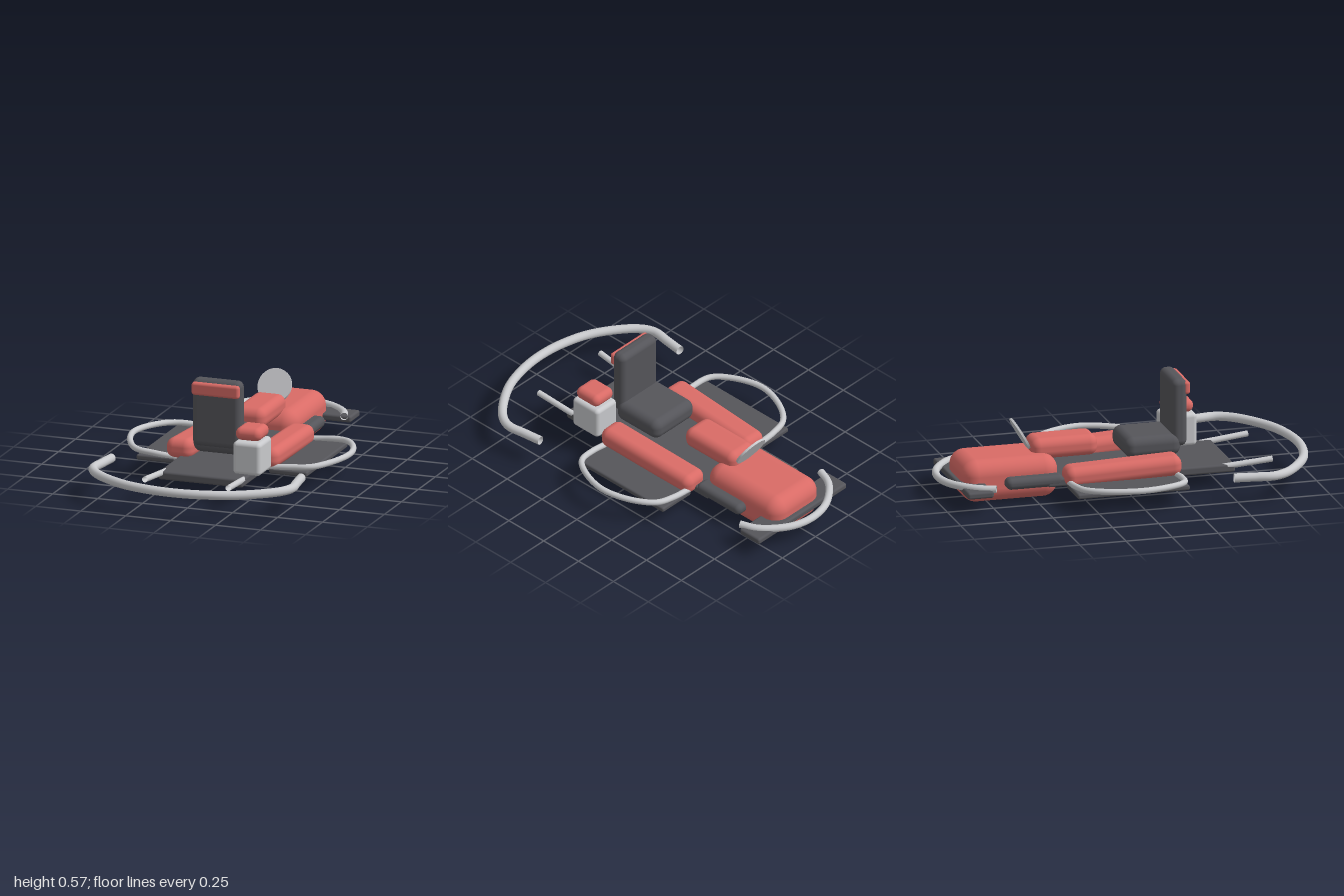
import * as THREE from 'three';
import { RoundedBoxGeometry } from 'three/addons/geometries/RoundedBoxGeometry.js';

const mat = (name, color, side = THREE.FrontSide) =>
  Object.assign(new THREE.MeshStandardMaterial({ color, side }), { name });

export function createModel() {
  const model = new THREE.Group();
  model.name = 'kart';
  const red = mat('red', 0xd96b66);
  const dark = mat('charcoal', 0x55555a);
  const silver = mat('silver', 0xc8c9cc, THREE.DoubleSide);

  const add = (name, geometry, material) => {
    const mesh = new THREE.Mesh(geometry, material);
    mesh.name = name;
    model.add(mesh);
    return mesh;
  };
  // Rounded box given by its extents on each axis
  const box = (name, material, [x0, x1], [y0, y1], [z0, z1], radius) => {
    const geometry = new RoundedBoxGeometry(x1 - x0, y1 - y0, z1 - z0, 5, radius);
    const mesh = add(name, geometry, material);
    mesh.position.set((x0 + x1) / 2, (y0 + y1) / 2, (z0 + z1) / 2);
    return mesh;
  };
  // Open-ended tube through a few points
  const tube = (name, points, radius) => {
    const curve = new THREE.CatmullRomCurve3(points.map(p => new THREE.Vector3(...p)));
    return add(name, new THREE.TubeGeometry(curve, 64, radius, 14), silver);
  };
  // Complete a half path (ending on x = 0) with its mirror image
  const mirrored = half => [...half, ...half.slice(0, -1).reverse().map(([x, y, z]) => [-x, y, z])];

  // Floor and rear plate
  box('floor', dark, [-0.235, 0.235], [0.085, 0.13], [-0.45, 0.565], 0.012);
  box('rearPlate', dark, [-0.333, 0.333], [0.086, 0.122], [-0.91, -0.77], 0.012);

  // Rear body and steering column cover
  box('rearBody', red, [-0.177, 0.177], [0.005, 0.232], [-0.885, -0.365], 0.08);
  box('columnCover', red, [-0.09, 0.09], [0.19, 0.302], [-0.49, -0.132], 0.045);

  // Steering disc
  const disc = add('steeringDisc', new THREE.CylinderGeometry(0.093, 0.093, 0.012, 40), silver);
  disc.position.set(0, 0.32, -0.535);
  disc.rotation.x = 1.06;

  // Seat
  box('seatCushion', dark, [-0.15, 0.15], [0.17, 0.285], [0, 0.3], 0.045);
  box('seatBack', dark, [-0.136, 0.136], [0.215, 0.58], [0.255, 0.336], 0.033);
  box('headrest', red, [-0.132, 0.132], [0.495, 0.565], [0.318, 0.352], 0.015);

  // Engine beside the seat
  box('engine', silver, [0.142, 0.296], [0.125, 0.302], [0.285, 0.468], 0.022);
  box('engineCap', red, [0.147, 0.29], [0.305, 0.374], [0.298, 0.454], 0.033);

  // Paired side parts
  for (const s of [-1, 1]) {
    const span = (a, b) => (s > 0 ? [a, b] : [-b, -a]);
    box('sidePanel', dark, span(0.262, 0.475), [0.083, 0.111], [-0.357, 0.25], 0.01);
    box('rearRail', dark, span(0.15, 0.236), [0.085, 0.146], [-0.67, -0.36], 0.028);

    const pod = box('sidePod', red, span(0.157, 0.305), [0.095, 0.205], [-0.362, 0.262], 0.045);
    pod.rotation.set(-0.045, s * 0.03, 0);

    tube('sideBar', [
      [0.24, 0.11, -0.34], [0.38, 0.125, -0.34], [0.475, 0.132, -0.315], [0.555, 0.138, -0.215],
      [0.6, 0.142, -0.05], [0.56, 0.138, 0.11], [0.485, 0.132, 0.215], [0.38, 0.125, 0.235],
      [0.24, 0.11, 0.23],
    ].map(([x, y, z]) => [s * x, y, z]), 0.016);

    tube('frontStrut', [[s * 0.218, 0.115, 0.5], [s * 0.232, 0.14, 0.765]], 0.016);
  }

  // Bumpers
  tube('frontBumper', mirrored([
    [0.527, 0.147, 0.472], [0.54, 0.147, 0.58], [0.55, 0.147, 0.68], [0.505, 0.147, 0.765],
    [0.32, 0.147, 0.9], [0.16, 0.147, 0.953], [0, 0.147, 0.97],
  ]), 0.024);
  tube('rearBumper', mirrored([
    [0.305, 0.125, -0.75], [0.275, 0.124, -0.825], [0.225, 0.123, -0.885], [0.12, 0.121, -0.955], [0, 0.12, -0.978],
  ]), 0.02);

  return model;
}
